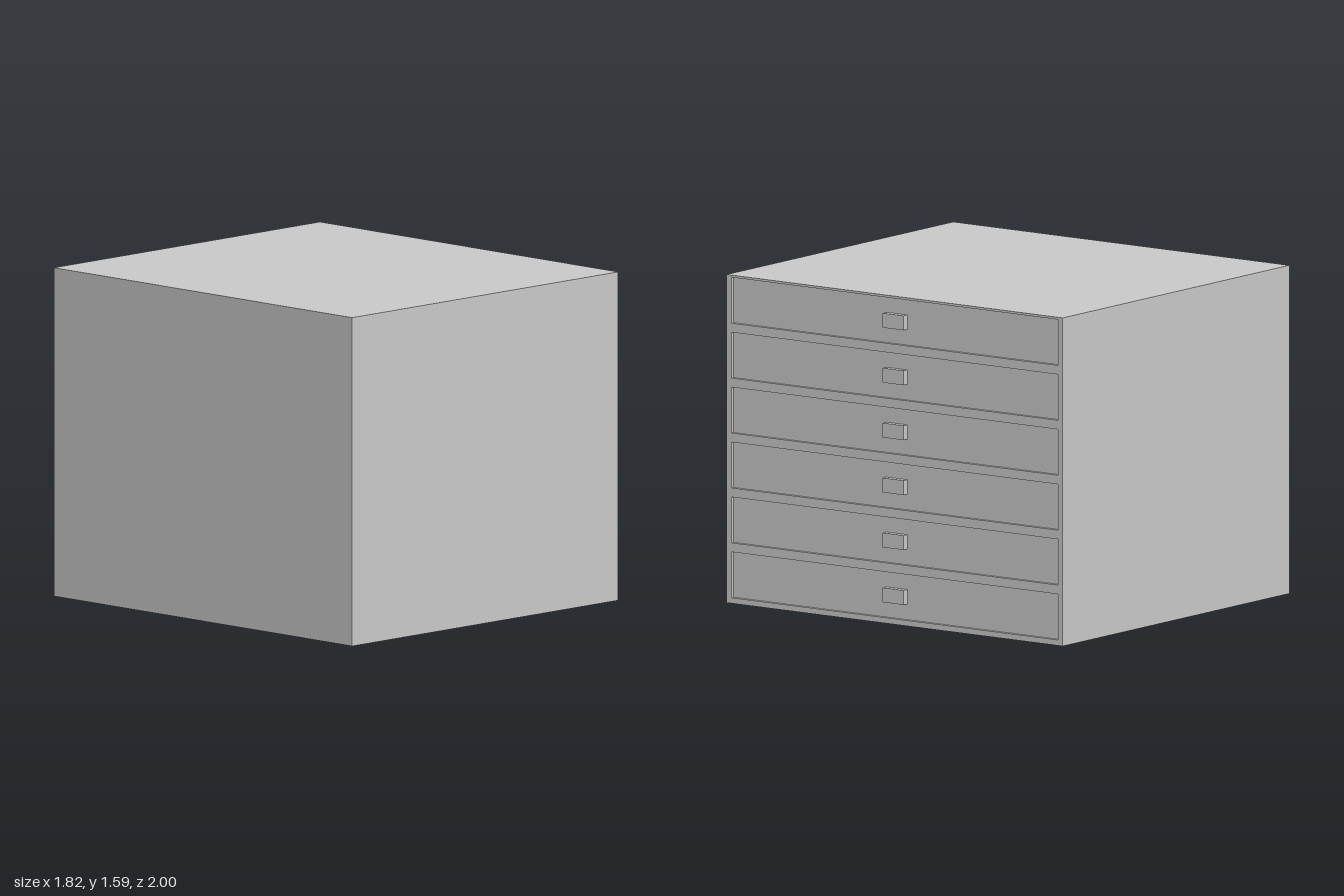
import * as THREE from 'three';

const HEIGHT = 1.59, BACK = -0.91, FRONT = 0.897; // the drawers open towards +x
const RECESS = 0.018, RECESSED = FRONT - RECESS;
const DRAWERS = 6, PITCH = 0.266, DRAWER_H = 0.222, HALF_W = 0.973, FIRST_Y = 0.138;

export function createModel() {
  const group = new THREE.Group();
  const material = new THREE.MeshStandardMaterial({ color: 0xcccccc, flatShading: true });

  const add = (name, geometry, x = 0, y = 0, z = 0) => {
    const mesh = new THREE.Mesh(geometry, material);
    mesh.name = name;
    mesh.position.set(x, y, z);
    group.add(mesh);
    return mesh;
  };

  const rectangle = (path, x0, y0, x1, y1) =>
    path.moveTo(x0, y0).lineTo(x1, y0).lineTo(x1, y1).lineTo(x0, y1).closePath();

  // Cabinet body; its front face is the back of the drawer recesses
  add('cabinetBody', new THREE.BoxGeometry(RECESSED - BACK, HEIGHT, 2), (BACK + RECESSED) / 2, HEIGHT / 2);

  // Face frame with one opening per drawer, plus the pulls
  const frame = rectangle(new THREE.Shape(), -1, 0, 1, HEIGHT);
  const pullDepth = 0.91 - RECESSED;
  for (let i = 0; i < DRAWERS; i++) {
    const y = FIRST_Y + i * PITCH;
    frame.holes.push(rectangle(new THREE.Path(), -HALF_W, y - DRAWER_H / 2, HALF_W, y + DRAWER_H / 2));

    // Drawer front, set back inside the frame
    const panel = add('drawerFront', new THREE.PlaneGeometry(HALF_W * 2, DRAWER_H), RECESSED + 0.001, y);
    panel.rotation.y = Math.PI / 2;

    add('drawerPull', new THREE.BoxGeometry(pullDepth, 0.07, 0.124), RECESSED + pullDepth / 2, y);
  }
  const faceFrame = add('faceFrame', new THREE.ExtrudeGeometry(frame, { depth: RECESS, bevelEnabled: false }), RECESSED);
  faceFrame.rotation.y = Math.PI / 2;

  return group;
}
